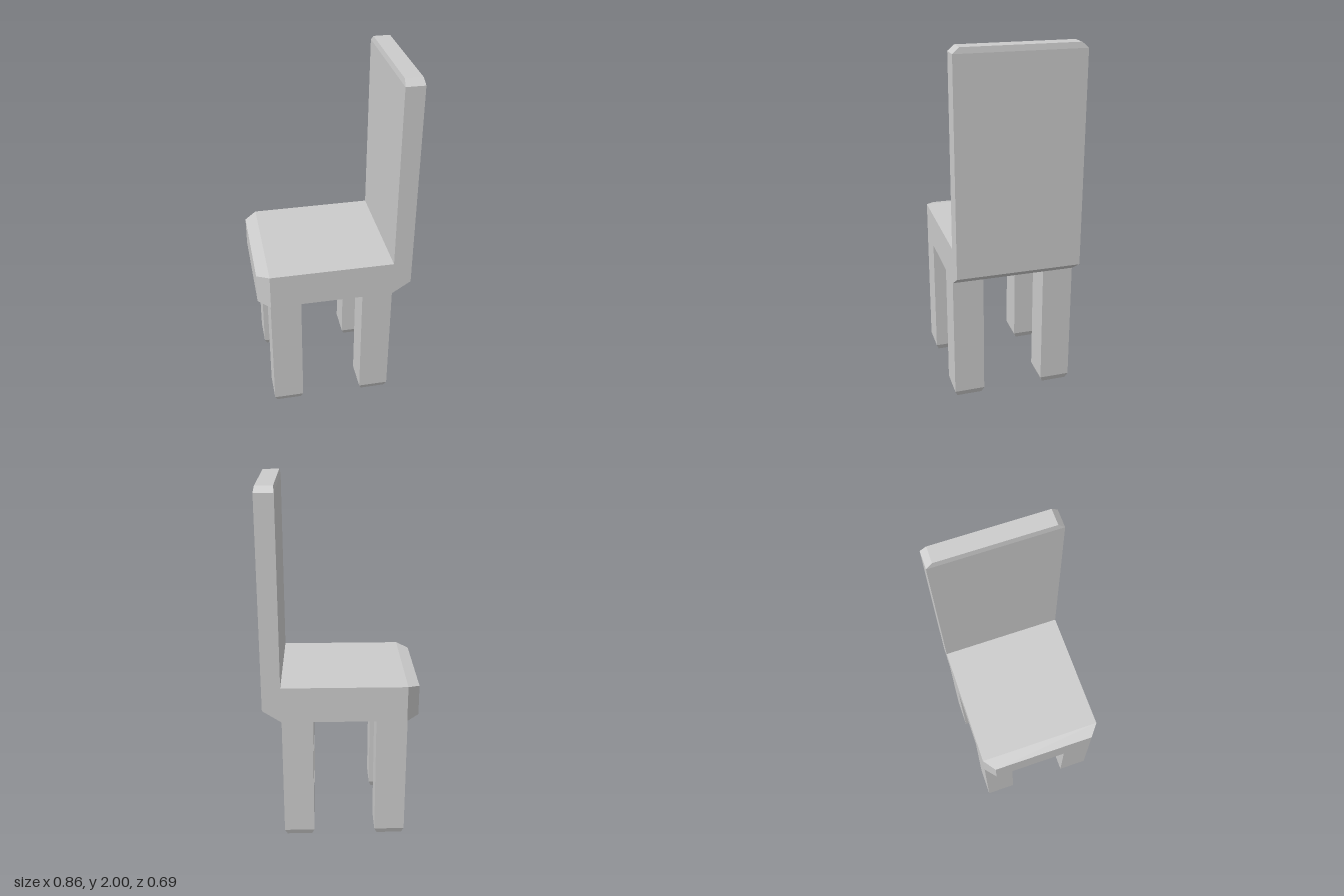
import * as THREE from 'three';

const material = new THREE.MeshStandardMaterial({ color: 0xcccccc, flatShading: true });

// Joins four-cornered sections { a: [x, y], b: [x, y], z: [min, max] } into one faceted solid.
function loft(name, sections, capStart, capEnd) {
  const rings = sections.map(({ a, b, z }) => [
    new THREE.Vector3(...a, z[1]), new THREE.Vector3(...a, z[0]),
    new THREE.Vector3(...b, z[0]), new THREE.Vector3(...b, z[1]),
  ]);
  const positions = [];
  const addTriangle = (p, q, r) => {
    if (new THREE.Triangle(p, q, r).getArea() > 1e-8) {
      for (const v of [p, q, r]) positions.push(v.x, v.y, v.z);
    }
  };
  const addQuad = (p, q, r, s) => {
    addTriangle(p, q, r);
    addTriangle(p, r, s);
  };
  for (let i = 0; i < rings.length - 1; i++) {
    for (let j = 0; j < 4; j++) {
      const k = (j + 1) % 4;
      addQuad(rings[i][j], rings[i][k], rings[i + 1][k], rings[i + 1][j]);
    }
  }
  if (capStart) addQuad(...[...rings[0]].reverse());
  if (capEnd) addQuad(...rings[rings.length - 1]);

  const geometry = new THREE.BufferGeometry();
  geometry.setAttribute('position', new THREE.Float32BufferAttribute(positions, 3));
  geometry.computeVertexNormals();
  const mesh = new THREE.Mesh(geometry, material);
  mesh.name = name;
  return mesh;
}

export function createModel() {
  const chair = new THREE.Group();
  chair.name = 'chair';
  const wide = [-0.343, 0.343];
  const corner = { a: [0.43, 0.8], b: [0.327, 0.93], z: wide };

  // Seat: chamfered front edge, sloped underside where it turns up into the back
  chair.add(loft('seat', [
    { a: [-0.43, 0.745], b: [-0.43, 0.917], z: [-0.29, 0.29] },
    { a: [-0.363, 0.73], b: [-0.363, 0.933], z: wide },
    { a: [0.325, 0.73], b: [0.327, 0.933], z: wide },
    { ...corner, b: [0.327, 0.933] },
  ], true, false));

  // Backrest: slab with a chamfered top
  chair.add(loft('backrest', [
    { ...corner, b: [0.327, 0.933] },
    { a: [0.43, 1.97], b: [0.327, 1.97], z: wide },
    { a: [0.425, 2], b: [0.332, 2], z: [-0.309, 0.309] },
  ], false, true));

  // Legs: square posts with bevelled feet
  const size = 0.171, bevel = 0.014, footHeight = 0.034;
  for (const [end, x] of [['front', -0.365], ['back', 0.154]]) {
    for (const [side, z] of [['Left', -0.343], ['Right', 0.343 - size]]) {
      const section = (y, inset) => ({
        a: [x + size - inset, y], b: [x + inset, y], z: [z + inset, z + size - inset],
      });
      chair.add(loft(`${end}${side}Leg`,
        [section(0, bevel), section(footHeight, 0), section(0.73, 0)], true, false));
    }
  }
  return chair;
}
